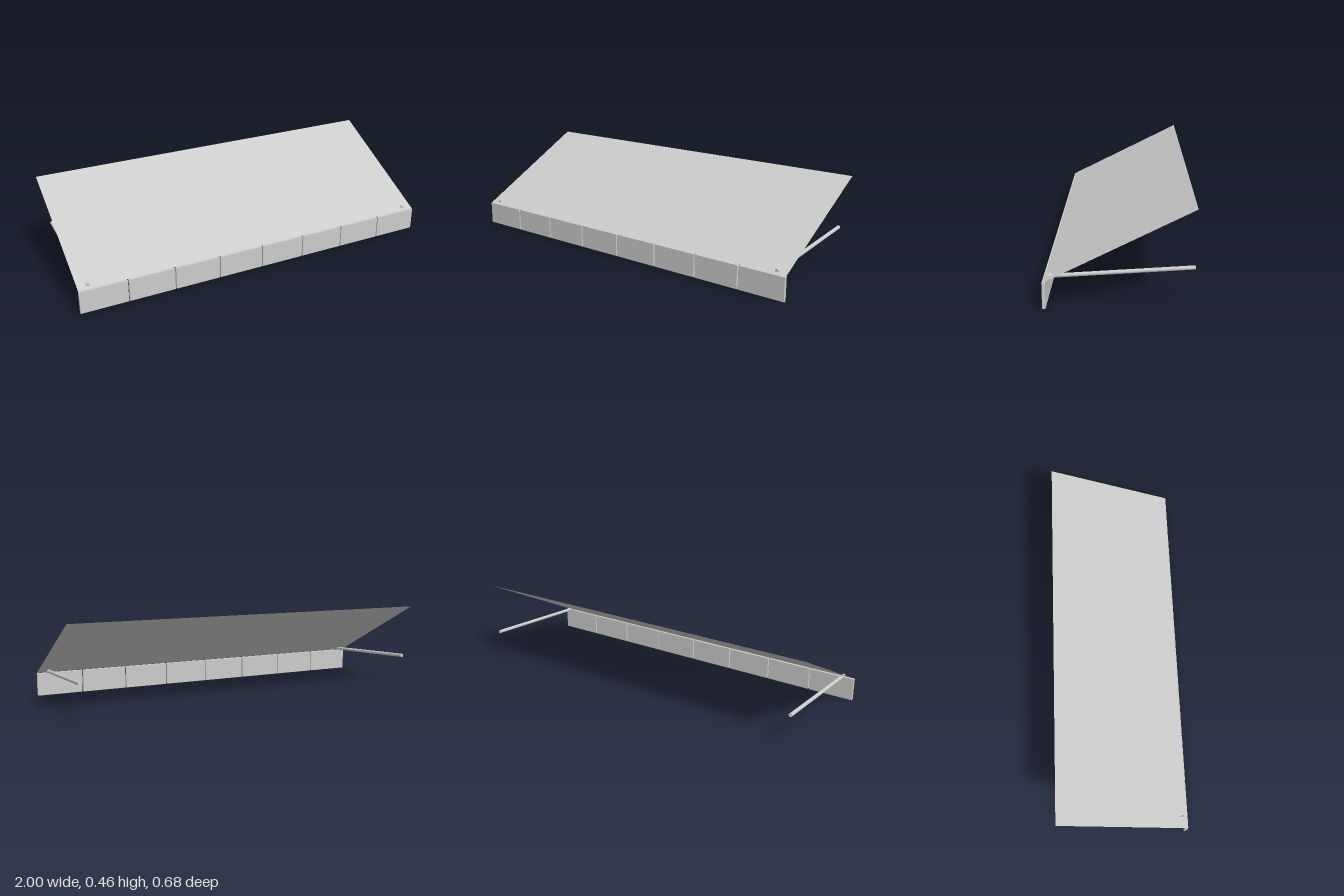
import * as THREE from 'three';
import { RoundedBoxGeometry } from 'three/addons/geometries/RoundedBoxGeometry.js';

export function createModel() {
  const group = new THREE.Group();
  group.name = 'awning';

  const grey = new THREE.MeshStandardMaterial({ color: 0xcccccc, side: THREE.DoubleSide });
  grey.name = 'light grey';

  const add = (name, geometry, x, y, z) => {
    const mesh = new THREE.Mesh(geometry, grey);
    mesh.name = name;
    mesh.position.set(x, y, z);
    group.add(mesh);
    return mesh;
  };

  // Sloping canopy sheet, low at the front and high at the back
  const front = { y: 0.125, z: 0.33 };
  const back = { y: 0.46, z: -0.338 };
  const rise = back.y - front.y;
  const depth = front.z - back.z;
  const canopy = add('canopy', new THREE.PlaneGeometry(2, Math.hypot(rise, depth)),
    0, (front.y + back.y) / 2, (front.z + back.z) / 2);
  canopy.rotation.x = -Math.atan2(depth, rise);

  // Hanging valance: eight panels with narrow gaps
  const panels = 8, pitch = 2 / panels, gap = 0.005;
  for (let i = 0; i < panels; i++) {
    // the outer panels reach the canopy's side edges
    const x0 = -1 + i * pitch + (i > 0 ? gap / 2 : 0);
    const x1 = -1 + (i + 1) * pitch - (i < panels - 1 ? gap / 2 : 0);
    add('valancePanel' + (i + 1), new RoundedBoxGeometry(x1 - x0, 0.123, 0.016, 2, 0.002),
      (x0 + x1) / 2, 0.0615, 0.33);
  }

  // Support rods, poking slightly through the canopy near its front edge
  const rodFront = new THREE.Vector3(0, 0.1345, 0.318);
  const rodBack = new THREE.Vector3(0, 0.178, -0.337);
  const along = rodFront.clone().sub(rodBack);
  const middle = rodFront.clone().add(rodBack).multiplyScalar(0.5);
  const rodGeometry = new THREE.CylinderGeometry(0.0095, 0.0095, along.length(), 24);
  for (const side of [1, -1]) {
    const rod = add(side > 0 ? 'leftRod' : 'rightRod', rodGeometry, side * 0.945, middle.y, middle.z);
    rod.quaternion.setFromUnitVectors(new THREE.Vector3(0, 1, 0), along.clone().normalize());
  }

  return group;
}
